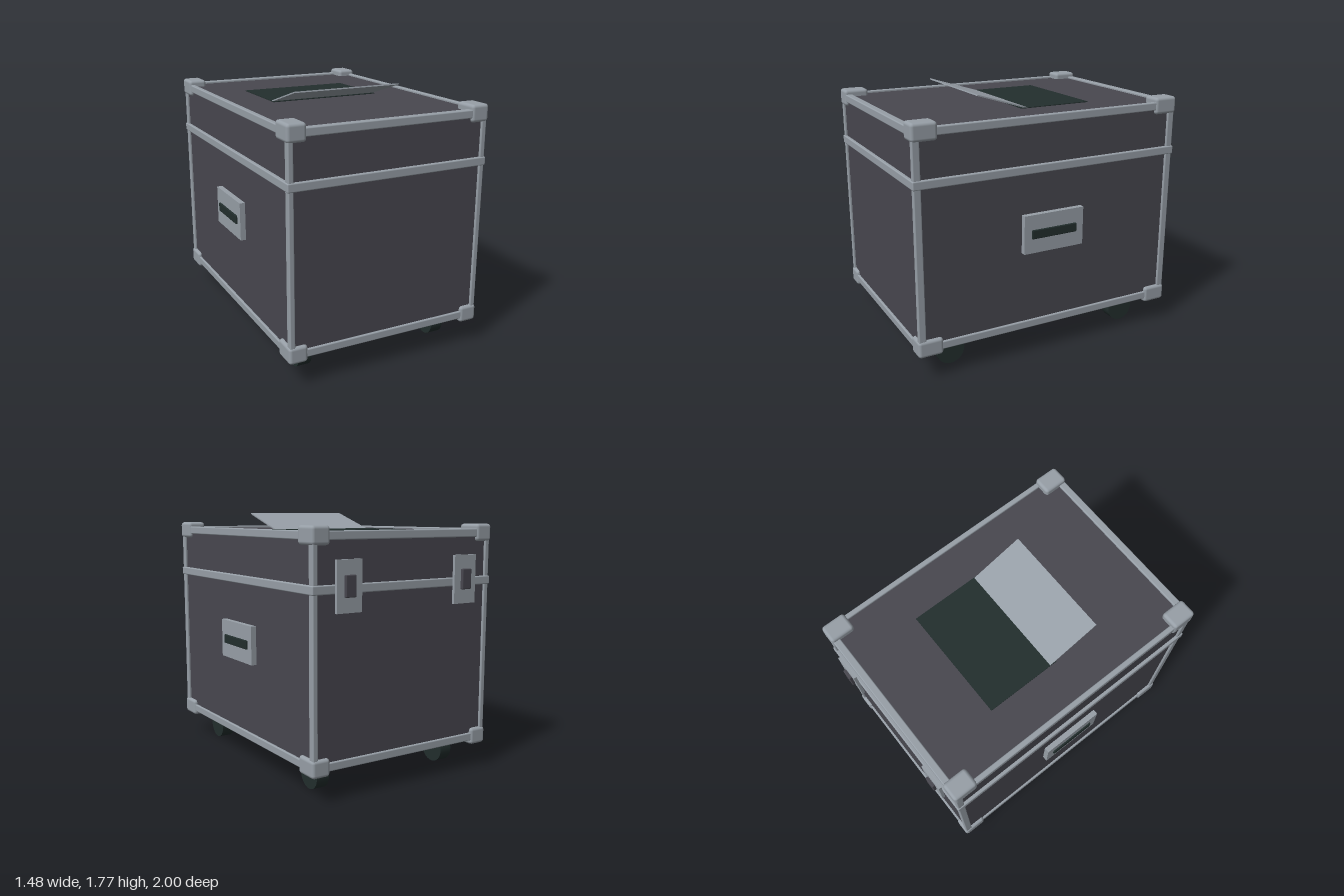
import * as THREE from 'three';
import { RoundedBoxGeometry } from 'three/addons/geometries/RoundedBoxGeometry.js';

const material = (name, color) => {
  const m = new THREE.MeshStandardMaterial({ color });
  m.name = name;
  return m;
};

export function createModel() {
  const panel = material('charcoal panel', 0x48474f);
  const metal = material('grey metal', 0x979fa7);
  const dark = material('black rubber', 0x222e2d);

  const model = new THREE.Group();
  model.name = 'flightCase';

  const place = (name, geometry, mat, x, y, z, parent = model) => {
    const mesh = new THREE.Mesh(geometry, mat);
    mesh.name = name;
    mesh.position.set(x, y, z);
    parent.add(mesh);
    return mesh;
  };
  // Box given by its lower and upper limits on each axis, with optional rounded edges
  const block = (name, mat, [x0, x1], [y0, y1], [z0, z1], radius = 0) => {
    const size = [x1 - x0, y1 - y0, z1 - z0];
    const geometry = radius ? new RoundedBoxGeometry(...size, 2, radius) : new THREE.BoxGeometry(...size);
    return place(name, geometry, mat, (x0 + x1) / 2, (y0 + y1) / 2, (z0 + z1) / 2);
  };

  // Case body and the band between base and lid
  block('caseBody', panel, [-0.69, 0.69], [0.215, 1.65], [-0.935, 0.975]);
  block('lidBand', metal, [-0.712, 0.712], [1.29, 1.347], [-0.957, 0.996], 0.008);

  // Edge rails along all twelve edges
  const X = 0.705, Z = 0.97, Y0 = 0.2, Y1 = 1.665, CZ = 0.02;
  const W = 0.036, H = 0.055, D = 0.05, R = 0.008;
  const xEdges = [[-X, -X + W], [X - W, X]];
  const yEdges = [[Y0, Y0 + H], [Y1 - H, Y1]];
  const zEdges = [[CZ - Z, CZ - Z + D], [CZ + Z - D, CZ + Z]];
  for (const x of xEdges) for (const z of zEdges) block('uprightRail', metal, x, [Y0, Y1], z, R);
  for (const y of yEdges) {
    for (const z of zEdges) block('crossRail', metal, [-X, X], y, z, R);
    for (const x of xEdges) block('sideRail', metal, x, y, [CZ - Z, CZ + Z], R);
  }

  // Rounded corner protectors
  for (const x of [[-0.714, -0.584], [0.584, 0.714]])
    for (const y of [[0.17, 0.287], [1.58, 1.697]])
      for (const z of [[-0.958, -0.786], [0.824, 0.997]])
        block('cornerProtector', metal, x, y, z, 0.022);

  // Wheels
  const wheel = new THREE.CylinderGeometry(0.1, 0.1, 0.092, 32).rotateZ(Math.PI / 2);
  for (const x of [-0.52, 0.52])
    for (const z of [-0.673, 0.716]) place('wheel', wheel, dark, x, 0.1, z);

  // Recessed-style side handles: plate and grip
  for (const s of [-1, 1]) {
    const span = (a, b) => [Math.min(s * a, s * b), Math.max(s * a, s * b)];
    block('handlePlate', metal, span(0.685, 0.728), [0.752, 1.017], [-0.205, 0.245]);
    block('handleGrip', dark, span(0.72, 0.739), [0.852, 0.914], [-0.15, 0.19], 0.006);
  }

  // Latches on the back
  for (const x of [-0.464, 0.464]) {
    block('latchPlate', metal, [x - 0.092, x + 0.092], [1.175, 1.497], [-0.979, -0.959]);
    block('latchKnob', panel, [x - 0.038, x + 0.038], [1.27, 1.405], [-1, -0.975], 0.006);
  }

  // Dark recess on the lid with a tilted flap
  block('lidRecess', dark, [-0.398, 0.398], [1.646, 1.655], [-0.435, 0.09]);
  const flap = new THREE.Group();
  flap.name = 'lidFlap';
  flap.position.set(0, 1.648, 0.035);
  flap.rotation.x = -0.3;
  model.add(flap);
  place('flapSheet', new THREE.BoxGeometry(0.79, 0.009, 0.4), metal, 0, 0, 0.197, flap);

  return model;
}
